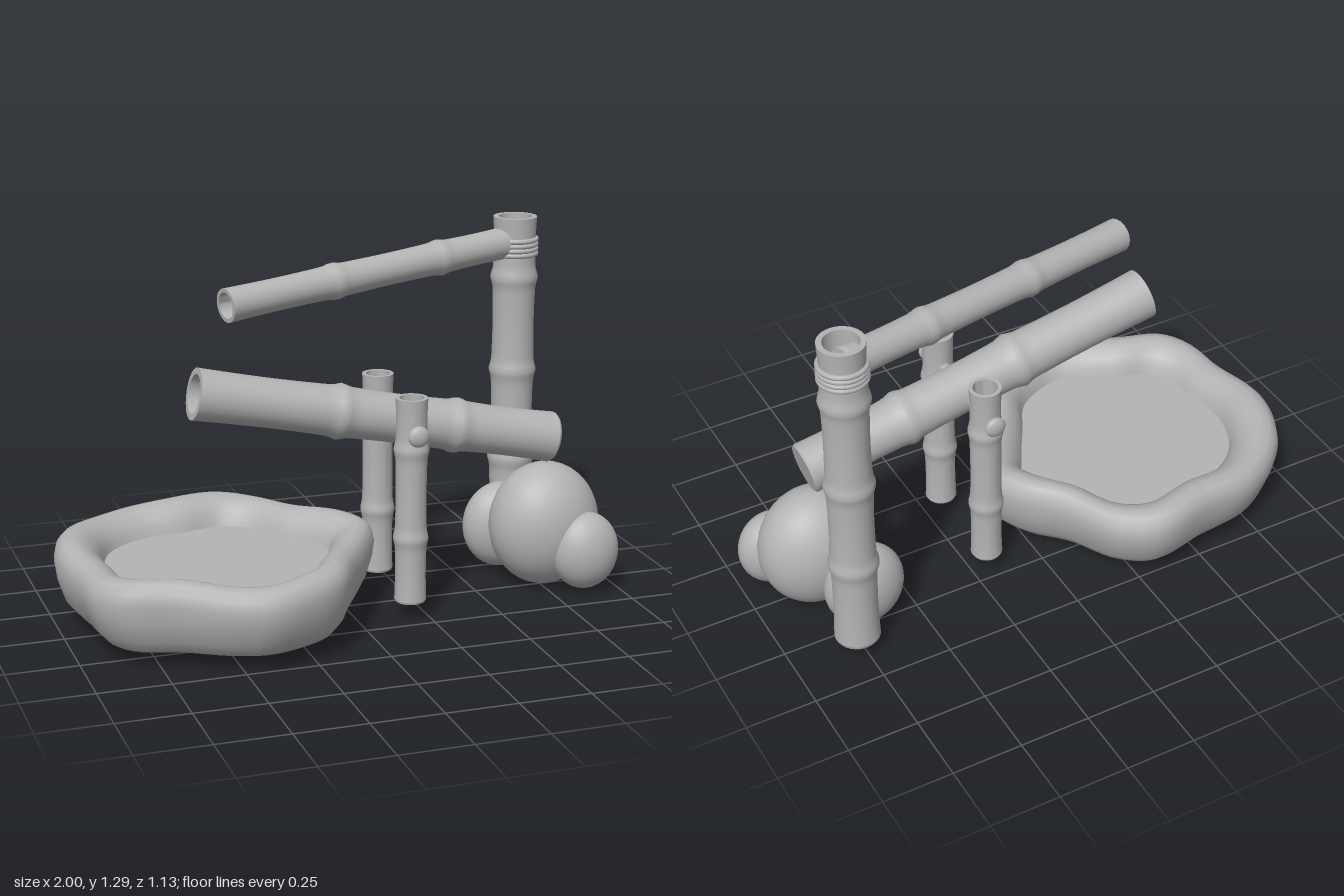
import * as THREE from 'three';
import { toCreasedNormals } from 'three/addons/utils/BufferGeometryUtils.js';

export function createModel() {
  const model = new THREE.Group();
  const stone = new THREE.MeshStandardMaterial({ color: 0xb4b4b4 });
  stone.name = 'plain grey';

  const add = (name, geometry, parent = model) => {
    const mesh = new THREE.Mesh(geometry, stone);
    mesh.name = name;
    parent.add(mesh);
    return mesh;
  };

  // Bamboo cane from a closed end to an open, hollow end; nodes are fractions of its length
  const bamboo = (name, from, to, r, nodes, depth) => {
    const a = new THREE.Vector3(...from), b = new THREE.Vector3(...to);
    const length = a.distanceTo(b);
    const stops = [0, ...nodes, 1];
    const points = [new THREE.Vector2(0, 0), new THREE.Vector2(r * 0.93, 0)];
    const n = 72;
    for (let i = 0; i <= n; i++) {
      const t = i / n;
      let k = 0;
      while (k < stops.length - 2 && t > stops[k + 1]) k++;
      const u = (t - stops[k]) / (stops[k + 1] - stops[k]);
      let radius = r * (1 - 0.05 * Math.sin(Math.PI * u));
      for (const s of nodes) radius += r * 0.1 * Math.exp(-(((t - s) * length / 0.022) ** 2));
      points.push(new THREE.Vector2(radius, Math.max(t * length, 0.008)));
    }
    points.push(
      new THREE.Vector2(r * 0.76, length),
      new THREE.Vector2(r * 0.76, length - depth),
      new THREE.Vector2(0, length - depth)
    );
    const mesh = add(name, toCreasedNormals(new THREE.LatheGeometry(points, 32), 0.7));
    mesh.position.copy(a);
    mesh.quaternion.setFromUnitVectors(new THREE.Vector3(0, 1, 0), b.sub(a).normalize());
    return mesh;
  };

  const ellipsoid = (name, center, radii) => {
    const mesh = add(name, new THREE.SphereGeometry(1, 36, 24));
    mesh.position.set(...center);
    mesh.scale.set(...radii);
    return mesh;
  };

  // Basin: an irregular outline scaled through a wall profile of [scale, height]
  const cx = -0.44, cz = -0.005;
  const outline = new THREE.CatmullRomCurve3([
    [-1.0, -0.13], [-0.92, -0.35], [-0.72, -0.5], [-0.5, -0.535], [-0.29, -0.57],
    [-0.16, -0.49], [-0.05, -0.31], [0.07, -0.18], [0.125, -0.05], [0.07, 0.07],
    [-0.05, 0.28], [-0.15, 0.45], [-0.29, 0.53], [-0.42, 0.56], [-0.56, 0.52],
    [-0.72, 0.43], [-0.88, 0.37], [-0.95, 0.27], [-0.97, 0.11]
  ].map(([x, z]) => new THREE.Vector3(x, 0, z)), true);
  const ring = outline.getSpacedPoints(96).slice(0, 96);

  const loft = (profile) => {
    const position = [], index = [], n = ring.length;
    profile.forEach(([s, y], j) => ring.forEach((p, i) => {
      const wave = y > 0.23 ? 0.009 * Math.sin((i / n) * Math.PI * 10 + 1) : 0;
      position.push(cx + (p.x - cx) * s, y + wave, cz + (p.z - cz) * s);
      if (j === profile.length - 1) return;
      const a = j * n + i, b = j * n + (i + 1) % n;
      index.push(a, a + n, b, b, a + n, b + n);
    }));
    const geometry = new THREE.BufferGeometry();
    geometry.setAttribute('position', new THREE.Float32BufferAttribute(position, 3));
    geometry.setIndex(index);
    geometry.computeVertexNormals();
    return geometry;
  };
  add('basin', loft([
    [0.001, 0.055], [0.5, 0.048], [0.76, 0.045], [0.87, 0.062], [0.945, 0.11], [0.985, 0.18],
    [1, 0.235], [0.985, 0.275], [0.945, 0.3], [0.885, 0.309], [0.82, 0.3], [0.76, 0.275],
    [0.715, 0.24], [0.69, 0.19]
  ]));
  add('waterSurface', loft([[0.71, 0.215], [0.001, 0.215]]));

  // Tall post with the spout lashed to it
  const post = [0.765, -0.335];
  bamboo('tallPost', [post[0], 0.065, post[1]], [post[0], 1.3, post[1]], 0.079, [0.27, 0.54, 0.82], 0.2);
  bamboo('spout', [0.765, 1.21, -0.335], [-0.41, 1.121, -0.02], 0.059, [0.28, 0.645], 0.35);
  const binding = new THREE.Group();
  binding.name = 'ropeBinding';
  model.add(binding);
  for (let i = 0; i < 4; i++) {
    const coil = add('ropeCoil', new THREE.TorusGeometry(0.077, 0.0095, 10, 40), binding);
    coil.rotation.x = Math.PI / 2;
    coil.position.set(post[0], 1.166 + i * 0.0172, post[1]);
  }

  // Rocking tube and its pivot
  const mid = -0.006, pivotX = 0.187, pivotY = 0.68;
  bamboo('rockingTube', [0.783, 0.559, mid], [-0.529, 0.829, mid], 0.09, [0.284, 0.61], 0.42);
  const axle = add('pivotRod', new THREE.CylinderGeometry(0.022, 0.022, 0.49, 20));
  axle.rotation.x = Math.PI / 2;
  axle.position.set(pivotX, pivotY, mid);

  // Mirrored supports with rod knobs
  for (const side of [1, -1]) {
    const z = mid + side * 0.174;
    bamboo('supportPost', [pivotX, 0.07, z], [pivotX, 0.8, z], 0.056, [0.315, 0.75], 0.12);
    ellipsoid('rodKnob', [pivotX, pivotY, mid + side * 0.245], [0.037, 0.037, 0.02]);
    ellipsoid('rodCollar', [pivotX, pivotY, mid + side * 0.106], [0.026, 0.026, 0.016]);
  }

  // Stones
  ellipsoid('largeStone', [0.768, 0.235, -0.021], [0.203, 0.226, 0.167]);
  ellipsoid('frontStone', [0.872, 0.161, 0.112], [0.125, 0.141, 0.096]);
  ellipsoid('backStone', [0.683, 0.175, -0.225], [0.143, 0.16, 0.1]);

  return model;
}
